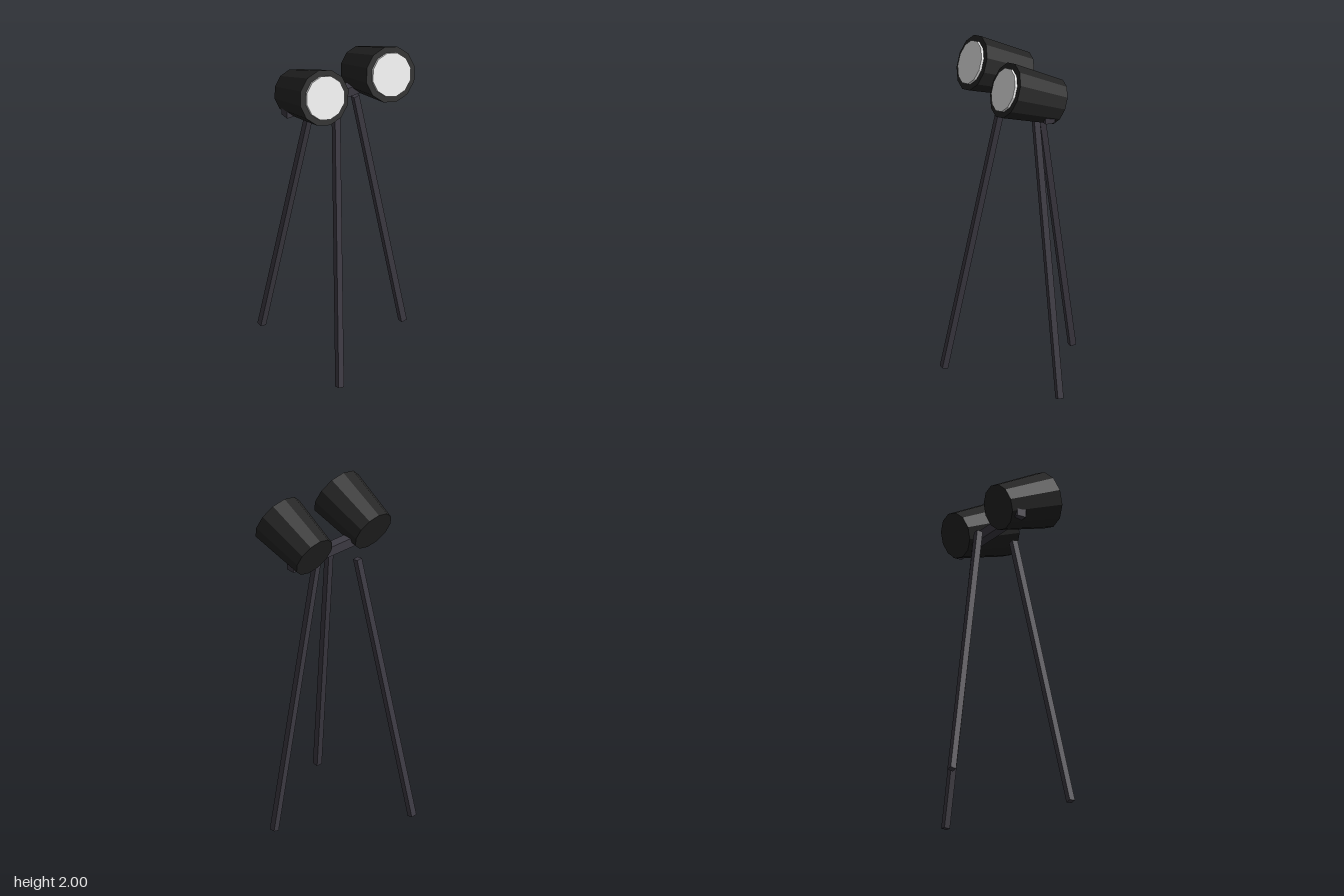
import * as THREE from 'three';

const flat = (name, color) => new THREE.MeshStandardMaterial({ name, color, flatShading: true });

export function createModel() {
  const black = flat('black housing', 0x242424);
  const grey = flat('dark grey metal', 0x3d3a43);
  const white = flat('white lens', 0xe4e4e4);

  const model = new THREE.Group();
  model.name = 'tripodWorkLight';

  const add = (parent, name, geometry, material) => {
    const mesh = new THREE.Mesh(geometry, material);
    mesh.name = name;
    parent.add(mesh);
    return mesh;
  };

  // Square leg between two points
  const up = new THREE.Vector3(0, 1, 0);
  const addLeg = (name, top, bottom) => {
    const a = new THREE.Vector3(...top), b = new THREE.Vector3(...bottom);
    const leg = add(model, name, new THREE.BoxGeometry(0.036, a.distanceTo(b), 0.036), grey);
    leg.position.copy(a).add(b).multiplyScalar(0.5);
    leg.quaternion.setFromUnitVectors(up, a.sub(b).normalize());
  };
  addLeg('leftLeg', [0.09, 1.622, 0], [0.413, 0.004, 0]);
  addLeg('frontLeg', [-0.117, 1.622, 0.118], [-0.279, 0.005, 0.401]);
  addLeg('backLeg', [-0.117, 1.622, -0.118], [-0.279, 0.005, -0.401]);

  // Crossbar carrying both lamps
  add(model, 'crossbar', new THREE.BoxGeometry(0.68, 0.058, 0.058), grey).position.set(-0.05, 1.675, 0);

  // Tapered lamps, tilted upwards, local +y is the beam direction
  const tilt = THREE.MathUtils.degToRad(90 - 21.5);
  for (const [name, x] of [['rightLamp', -0.27], ['leftLamp', 0.18]]) {
    const lamp = new THREE.Group();
    lamp.name = name;
    lamp.position.set(x, 1.789, 0.074);
    lamp.rotation.x = tilt;
    add(lamp, 'housing', new THREE.CylinderGeometry(0.163, 0.132, 0.336, 12), black);
    add(lamp, 'lens', new THREE.CylinderGeometry(0.128, 0.128, 0.03, 12), white).position.y = 0.168;
    model.add(lamp);
  }
  return model;
}
